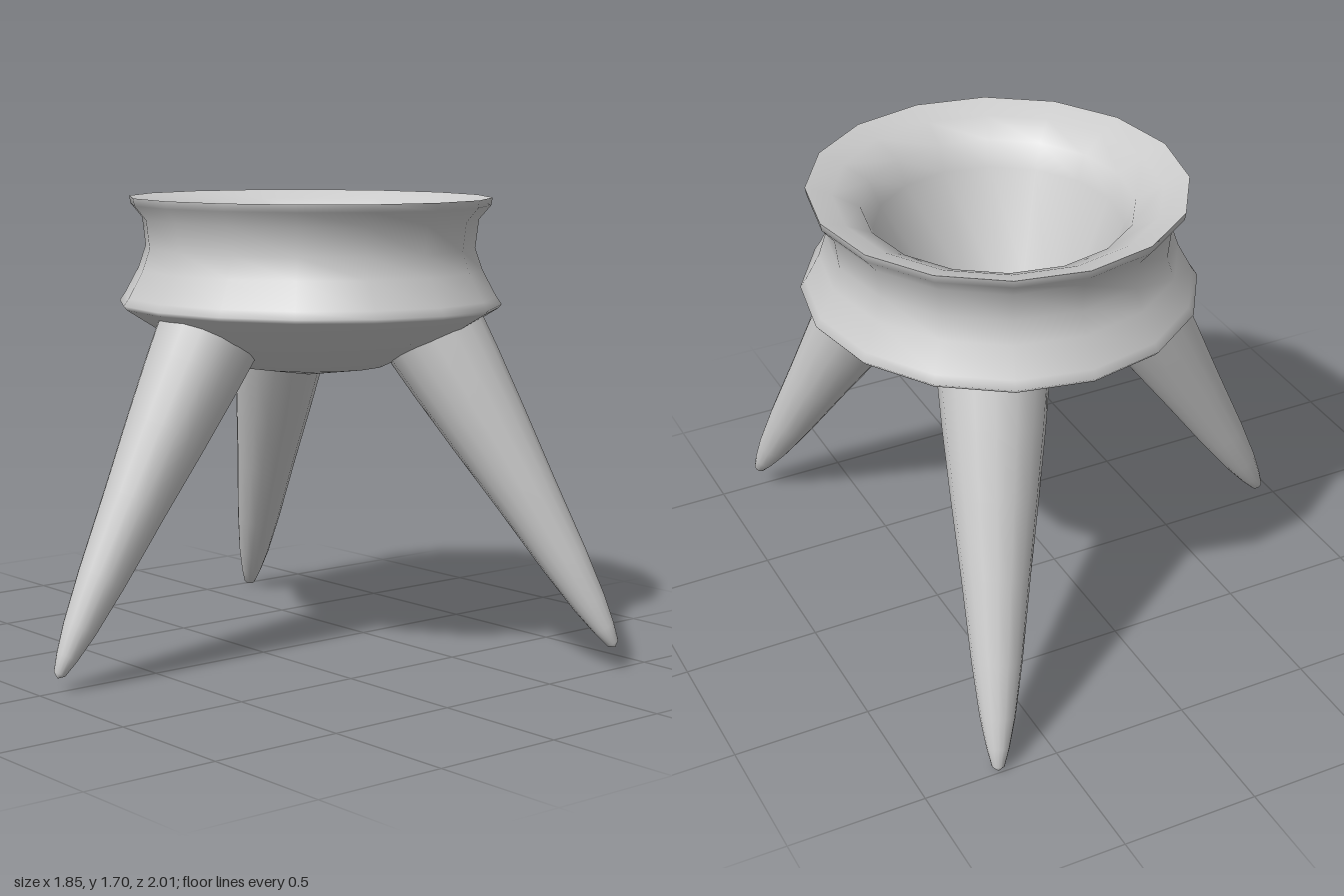
import * as THREE from 'three';

const material = new THREE.MeshStandardMaterial({ color: 0xcccccc, side: THREE.DoubleSide });

// Surface of revolution from [radius, height] pairs, listed bottom to top on outer faces
function turned(name, profile, sides) {
  const points = profile.map(([r, y]) => new THREE.Vector2(r, y));
  const mesh = new THREE.Mesh(new THREE.LatheGeometry(points, sides), material);
  mesh.name = name;
  return mesh;
}

// Tapered horn-like leg running from its rounded tip up into the bowl
function leg(name, tip, top) {
  const start = new THREE.Vector3(...tip);
  const axis = new THREE.Vector3(...top).sub(start);
  const length = axis.length();
  const profile = [
    [0, 0], [0.022, 0.012], [0.04, 0.06], [0.062, 0.14], [0.088, 0.28],
    [0.12, 0.5], [0.152, 0.7], [0.178, 0.88], [0.192, 1],
  ].map(([r, t]) => [r, t * length]);
  const mesh = turned(name, profile, 16);
  mesh.position.copy(start);
  mesh.quaternion.setFromUnitVectors(new THREE.Vector3(0, 1, 0), axis.normalize());
  return mesh;
}

export function createModel() {
  const model = new THREE.Group();
  model.name = 'tripodBowl';

  // Bowl: slightly narrower across x than z; separate strips keep rim edges crisp
  const bowl = new THREE.Group();
  bowl.name = 'bowl';
  bowl.position.x = 0.217;
  bowl.scale.x = 0.952;
  bowl.add(
    turned('outerWall', [
      [0, 1.035], [0.3, 1.078], [0.56, 1.195], [0.722, 1.293], [0.735, 1.308], [0.715, 1.335],
      [0.66, 1.435], [0.632, 1.515], [0.645, 1.62], [0.69, 1.672], [0.695, 1.7],
    ], 16),
    turned('innerWall', [
      [0.695, 1.7], [0.6, 1.67], [0.5, 1.62], [0.46, 1.53], [0.29, 1.15],
    ], 16),
    turned('bowlFloor', [[0.29, 1.15], [0.1, 1.13], [0, 1.11]], 16),
  );
  model.add(bowl);

  // Three splayed legs
  model.add(
    leg('rightLeg', [-0.925, 0.05, 0], [-0.25, 1.22, 0]),
    leg('frontLeg', [0.845, 0.08, 0.995], [0.485, 1.2, 0.4]),
    leg('backLeg', [0.72, 0, -0.99], [0.445, 1.2, -0.42]),
  );
  return model;
}
